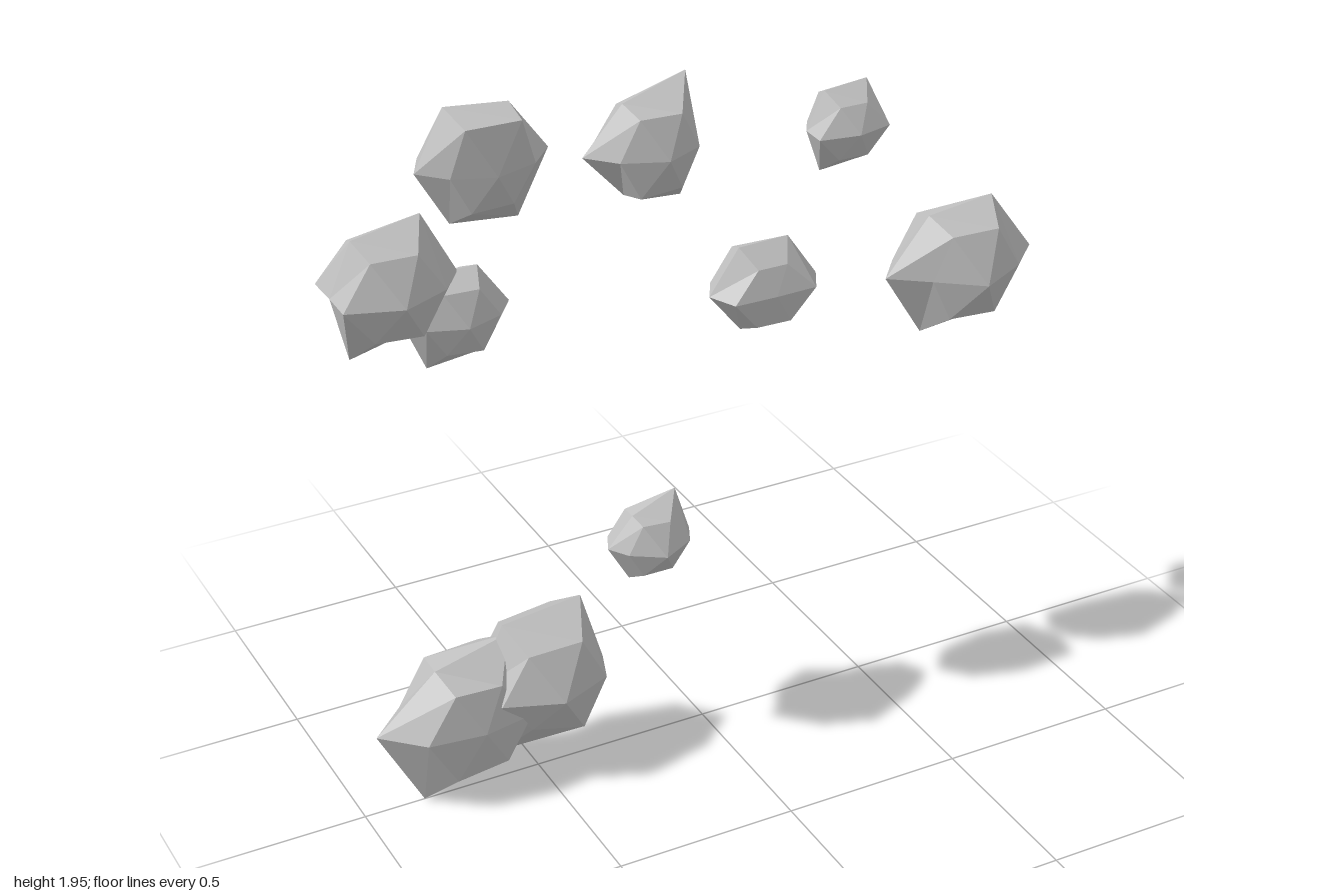
import * as THREE from 'three';

const FLATTEN = 0.65; // depth of a rock compared with its width

// Six-sided ball with its axis along z: front pole, ring, rim, ring, back pole.
// Each array holds six radii, one every 60 degrees counter-clockwise from +x.
function rockGeometry(rim, frontRing, backRing, frontZ, backZ) {
  const ball = new THREE.SphereGeometry(1, 6, 4).rotateX(Math.PI / 2);
  const p = ball.attributes.position;
  for (let i = 0; i < p.count; i++) {
    const x = p.getX(i), y = p.getY(i), z = p.getZ(i);
    if (Math.abs(z) > 0.9) {
      p.setXYZ(i, 0, 0, z > 0 ? frontZ : backZ);
      continue;
    }
    const k = (Math.round(Math.atan2(y, x) / (Math.PI / 3)) + 6) % 6;
    const r = Math.abs(z) < 0.1 ? rim[k] : z > 0 ? frontRing[k] : backRing[k];
    p.setXYZ(i, x * r, y * r, z * r * FLATTEN);
  }
  const flat = ball.toNonIndexed();
  flat.computeVertexNormals();
  return flat;
}

export function createModel() {
  const group = new THREE.Group();
  group.name = 'floatingRocks';
  const stone = new THREE.MeshStandardMaterial({ color: 0xc0c0c0, flatShading: true });
  stone.name = 'light grey stone';

  function addRock(name, x, y, rim, frontRing, backRing, frontZ, backZ) {
    const rock = new THREE.Mesh(rockGeometry(rim, frontRing, backRing, frontZ, backZ), stone);
    rock.name = name;
    rock.position.set(x, y, 0);
    group.add(rock);
  }

  // Upper left cluster
  addRock('upperLeftRock', -0.86, 1.525,
    [0.19, 0.20, 0.16, 0.14, 0.20, 0.15],
    [0.18, 0.17, 0.18, 0.20, 0.17, 0.18],
    [0.17, 0.18, 0.17, 0.20, 0.18, 0.17], 0.14, -0.12);
  addRock('topRock', -0.60, 1.80,
    [0.18, 0.16, 0.18, 0.17, 0.17, 0.19],
    [0.16, 0.205, 0.21, 0.15, 0.16, 0.155],
    [0.19, 0.17, 0.17, 0.18, 0.17, 0.18], 0.11, -0.11);
  addRock('upperLeftPebble', -0.685, 1.414,
    [0.148, 0.134, 0.13, 0.135, 0.155, 0.136],
    [0.14, 0.13, 0.14, 0.14, 0.13, 0.14],
    [0.14, 0.14, 0.13, 0.14, 0.14, 0.13], 0.10, -0.10);

  // Upper middle and right
  addRock('upperMiddleRock', -0.15, 1.75,
    [0.13, 0.205, 0.14, 0.18, 0.14, 0.175],
    [0.15, 0.16, 0.17, 0.16, 0.17, 0.16],
    [0.184, 0.17, 0.15, 0.16, 0.16, 0.17], 0.12, -0.10);
  addRock('upperRightPebble', 0.405, 1.695,
    [0.10, 0.13, 0.115, 0.108, 0.135, 0.12],
    [0.14, 0.11, 0.11, 0.155, 0.12, 0.12],
    [0.14, 0.12, 0.12, 0.11, 0.12, 0.12], 0.09, -0.10);
  addRock('middlePebble', 0.175, 1.29,
    [0.158, 0.145, 0.14, 0.155, 0.13, 0.135],
    [0.165, 0.12, 0.12, 0.17, 0.138, 0.14],
    [0.14, 0.14, 0.15, 0.16, 0.14, 0.14], 0.08, -0.075);
  addRock('rightRock', 0.765, 1.22,
    [0.235, 0.207, 0.18, 0.218, 0.21, 0.185],
    [0.20, 0.20, 0.21, 0.165, 0.19, 0.20],
    [0.21, 0.20, 0.20, 0.20, 0.21, 0.22], 0.165, -0.11);

  // Lower left cluster
  addRock('lowerPebble', -0.16, 0.62,
    [0.12, 0.155, 0.095, 0.12, 0.12, 0.13],
    [0.13, 0.11, 0.13, 0.12, 0.12, 0.12],
    [0.12, 0.12, 0.12, 0.13, 0.12, 0.12], 0.11, -0.10);
  addRock('lowerLeftRock', -0.695, 0.24,
    [0.22, 0.24, 0.177, 0.26, 0.272, 0.19],
    [0.20, 0.18, 0.20, 0.22, 0.22, 0.20],
    [0.22, 0.23, 0.22, 0.22, 0.23, 0.22], 0.12, -0.17);
  addRock('lowerRock', -0.485, 0.295,
    [0.183, 0.242, 0.211, 0.19, 0.24, 0.245],
    [0.21, 0.22, 0.21, 0.22, 0.18, 0.22],
    [0.22, 0.23, 0.21, 0.21, 0.22, 0.22], 0.16, -0.14);
  return group;
}
